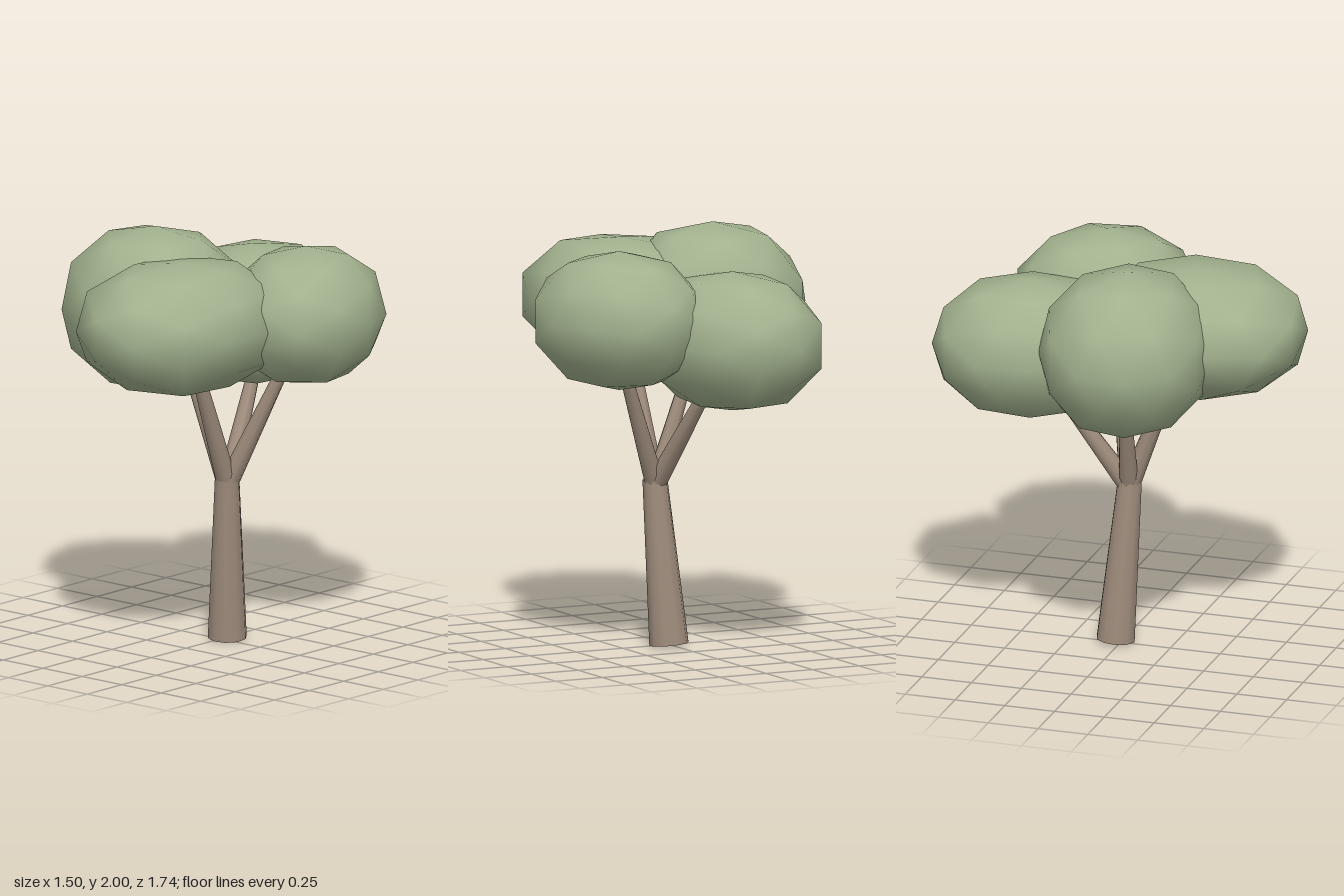
import * as THREE from 'three';
import { mergeVertices } from 'three/addons/utils/BufferGeometryUtils.js';

const UP = new THREE.Vector3(0, 1, 0);

// Low-poly ball pushed towards a box by a power above 2 and fitted to the given radii
function puffGeometry(radii, power, spin) {
  const ball = new THREE.IcosahedronGeometry(1, 1);
  ball.deleteAttribute('normal');
  ball.deleteAttribute('uv');
  ball.rotateY(spin);
  const geo = mergeVertices(ball, 1e-3);
  const pos = geo.attributes.position;
  const v = new THREE.Vector3();
  for (let i = 0; i < pos.count; i++) {
    v.fromBufferAttribute(pos, i);
    const sum = v.toArray().reduce((s, c) => s + Math.abs(c) ** power, 0);
    v.divideScalar(sum ** (1 / power));
    pos.setXYZ(i, v.x, v.y, v.z);
  }
  geo.center();
  const half = geo.boundingBox.getSize(new THREE.Vector3()).multiplyScalar(0.5);
  geo.scale(radii[0] / half.x, radii[1] / half.y, radii[2] / half.z);
  geo.computeVertexNormals();
  return geo;
}

export function createModel() {
  const tree = new THREE.Group();
  tree.name = 'tree';

  const bark = new THREE.MeshStandardMaterial({ color: 0x9e8c7c, side: THREE.DoubleSide });
  bark.name = 'bark brown';
  const leaves = new THREE.MeshStandardMaterial({ color: 0xa2b28e });
  leaves.name = 'leaf green';

  // Tapered limb running between two points
  function limb(name, from, to, rBase, rTip, sides, open = false) {
    const a = new THREE.Vector3(...from);
    const b = new THREE.Vector3(...to);
    const dir = b.clone().sub(a);
    const geo = new THREE.CylinderGeometry(rTip, rBase, dir.length(), sides, 1, open);
    const mesh = new THREE.Mesh(geo, bark);
    mesh.position.copy(a).add(b).multiplyScalar(0.5);
    mesh.quaternion.setFromUnitVectors(UP, dir.normalize());
    mesh.name = name;
    tree.add(mesh);
  }

  function crown(name, centre, radii, power, spin, yaw) {
    const mesh = new THREE.Mesh(puffGeometry(radii, power, spin), leaves);
    mesh.position.set(...centre);
    mesh.rotation.y = yaw;
    mesh.name = name;
    tree.add(mesh);
  }

  // Trunk, leaning slightly and open at its foot
  limb('trunk', [0.017, 0.006, -0.03], [0.064, 0.8, 0.025], 0.095, 0.06, 10, true);

  // Four branches fanning out of the trunk top
  const fork = [0.064, 0.77, 0.022];
  limb('frontBranch', fork, [0.07, 1.37, 0.25], 0.05, 0.031, 8);
  limb('rightBranch', fork, [-0.12, 1.255, 0.06], 0.05, 0.031, 8);
  limb('backBranch', fork, [-0.04, 1.24, -0.285], 0.05, 0.031, 8);
  limb('leftBranch', fork, [0.29, 1.33, -0.11], 0.05, 0.031, 8);

  // One leaf mass over each branch
  crown('frontCrown', [0.075, 1.615, 0.365], [0.415, 0.305, 0.51], 2.65, 0.3, 0);
  crown('rightCrown', [-0.3, 1.6, 0.13], [0.445, 0.4, 0.4], 2.25, 0.3, 0);
  crown('backCrown', [-0.13, 1.51, -0.405], [0.38, 0.335, 0.475], 2.3, 0, 0.28);
  crown('leftCrown', [0.37, 1.615, -0.195], [0.365, 0.335, 0.43], 2.15, 0.3, 0.38);

  return tree;
}
